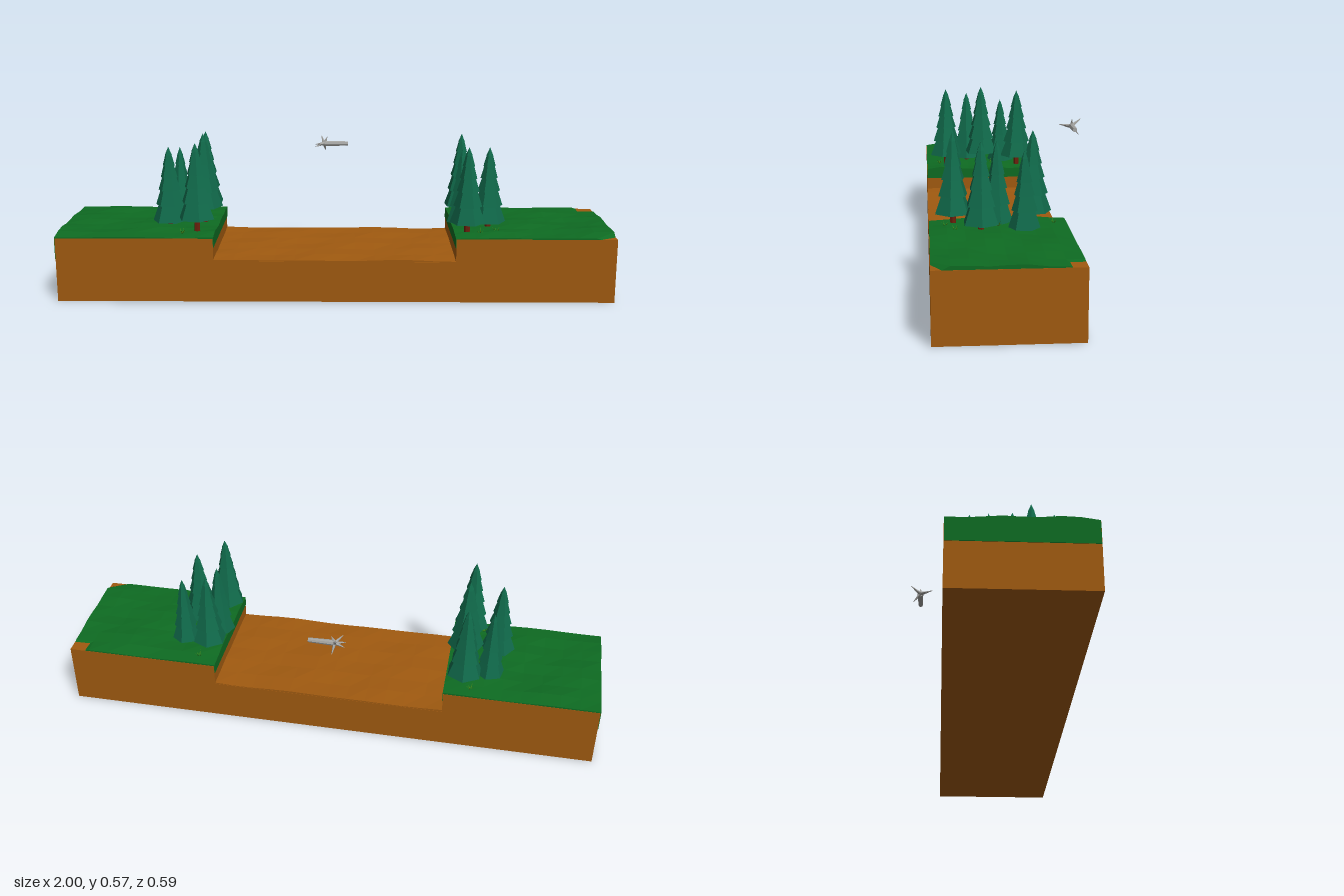
import * as THREE from 'three';

const flat = (name, color, side = THREE.FrontSide) => {
  const m = new THREE.MeshStandardMaterial({ color, flatShading: true, side });
  m.name = name;
  return m;
};

const Z0 = -0.17, Z1 = 0.295, BED = 0.149, BANK = 0.233;
const IN_L = -0.435, IN_R = 0.43;

// Smooth repeatable bumps between 0 and 1
const bump = (x, z) =>
  0.5 + 0.25 * Math.sin(x * 19 + z * 11) + 0.25 * Math.sin(z * 31 - x * 13 + 1.3);

export function createModel() {
  const model = new THREE.Group();
  const earth = flat('earth brown', 0xa05a10);
  const grass = flat('grass green', 0x0e6b22);
  const needle = flat('needle green', 0x10694a);
  const bark = flat('bark red brown', 0x6b200c);
  const blade = flat('blade green', 0x3c8018, THREE.DoubleSide);
  const wood = flat('dead wood grey', 0xa3a3a0);

  const add = (parent, name, geometry, material) => {
    const mesh = new THREE.Mesh(geometry, material);
    mesh.name = name;
    parent.add(mesh);
    return mesh;
  };

  // Earth block with a wide channel cut into it
  const section = new THREE.Shape([
    [-0.998, 0], [1, 0], [1, BANK], [IN_R, BANK],
    [IN_R, BED], [IN_L, BED], [IN_L, BANK], [-0.998, BANK],
  ].map(([x, y]) => new THREE.Vector2(x, y)));
  const block = new THREE.ExtrudeGeometry(section, { depth: Z1 - Z0, bevelEnabled: false });
  add(model, 'earthBlock', block.translate(0, 0, Z0), earth);

  // Slab with an uneven top
  const slab = (name, x0, x1, bottom, height, nx, nz, material) => {
    const g = new THREE.BoxGeometry(x1 - x0, 1, Z1 - Z0 - 0.002, nx, 1, nz);
    g.translate((x0 + x1) / 2, 0, (Z0 + Z1) / 2);
    const p = g.attributes.position;
    for (let i = 0; i < p.count; i++) {
      p.setY(i, p.getY(i) > 0 ? height(p.getX(i), p.getZ(i)) : bottom);
    }
    g.computeVertexNormals();
    add(model, name, g, material);
  };

  // Grass dips under the earth at the two outer right-hand corners
  const turf = (x, z) => {
    const edge = Math.min(z - Z0, Z1 - z);
    if (x > 0.99 && edge < 0.01) return 0.215;
    return 0.2355 + (edge < 0.01 ? 0.004 : 0.013) * bump(x, z);
  };
  slab('channelBed', IN_L, IN_R, 0.1, (x, z) => 0.1505 + 0.007 * bump(x, z), 12, 6, earth);
  slab('rightGrass', IN_R - 0.002, 0.999, 0.2, turf, 8, 8, grass);
  slab('leftGrass', -0.999, IN_L + 0.002, 0.2, turf, 8, 8, grass);
  const skirt = new THREE.BoxGeometry(0.004, 0.08, Z1 - Z0 - 0.002);
  add(model, 'grassSkirt', skirt.translate(-0.998, 0.196, (Z0 + Z1) / 2), grass);

  // Conifers: one six-sided zigzag profile for all tiers
  const tiers = [[0, 1], [0.22, 0.81], [0.42, 0.64], [0.59, 0.49], [0.75, 0.35], [0.89, 0.2]];
  const profile = [new THREE.Vector2(0, 0.05)];
  tiers.forEach(([t, r], i) => {
    if (i) profile.push(new THREE.Vector2(r * 0.76, t + 0.025));
    profile.push(new THREE.Vector2(r, t));
  });
  profile.push(new THREE.Vector2(0, 1));
  const foliage = new THREE.LatheGeometry(profile, 6);
  const trunkShape = new THREE.CylinderGeometry(0.009, 0.012, 1, 6).translate(0, 0.5, 0);

  // x, z, peak height, radius
  [
    [-0.5, -0.083, 0.555, 0.067], [-0.59, -0.02, 0.505, 0.055],
    [-0.49, 0.067, 0.573, 0.068], [-0.61, 0.123, 0.533, 0.064],
    [-0.5, 0.213, 0.563, 0.067], [0.475, -0.055, 0.552, 0.064],
    [0.58, -0.018, 0.505, 0.053], [0.468, 0.065, 0.517, 0.056],
    [0.56, 0.123, 0.533, 0.064], [0.475, 0.213, 0.55, 0.064],
  ].forEach(([x, z, peak, r], i) => {
    const tree = new THREE.Group();
    tree.name = 'conifer';
    tree.position.set(x, 0, z);
    tree.rotation.y = i * 1.9;
    const tall = peak > 0.51 ? 0.275 : 0.258;
    const crown = add(tree, 'foliage', foliage, needle);
    crown.scale.set(r, tall, r);
    crown.position.y = peak - tall;
    const trunk = add(tree, 'trunk', trunkShape, bark);
    trunk.position.y = 0.225;
    trunk.scale.y = peak - tall - 0.225 + 0.03;
    model.add(tree);
  });

  // Grass tufts: fans of leaning triangular blades
  const bladeShape = new THREE.BufferGeometry();
  bladeShape.setAttribute('position', new THREE.Float32BufferAttribute(
    [-0.003, 0, 0, 0.003, 0, 0, 0, 0.026, 0.008], 3));
  bladeShape.computeVertexNormals();
  [
    [0.58, 0.21], [0.52, 0.24], [0.5, 0.0], [0.53, 0.065], [0.5, -0.125],
    [-0.55, 0.24], [-0.54, 0.02], [-0.53, -0.13],
  ].forEach(([x, z], i) => {
    const tuft = new THREE.Group();
    tuft.name = 'grassTuft';
    tuft.position.set(x, 0.236, z);
    for (let k = 0; k < 6; k++) {
      const b = add(tuft, 'blade', bladeShape, blade);
      b.rotation.set(0.35, k * 1.05 + i, 0, 'YXZ');
      b.scale.y = 0.75 + 0.15 * (k % 3);
    }
    model.add(tuft);
  });

  // Floating dead log with spreading roots
  const log = new THREE.Group();
  log.name = 'deadLog';
  log.position.set(-0.05, 0.477, -0.257);
  const stem = new THREE.CylinderGeometry(0.0085, 0.011, 0.095, 8);
  add(log, 'stem', stem.rotateZ(-Math.PI / 2).translate(0.0475, 0, 0), wood);
  const up = new THREE.Vector3(0, 1, 0);
  [
    [-0.012, 0.026, -0.036], [0.006, -0.032, -0.026], [0.012, 0.027, 0],
    [-0.022, 0.003, 0.046], [-0.035, -0.009, 0.022], [-0.036, -0.006, -0.012],
  ].forEach((tip) => {
    const dir = new THREE.Vector3(...tip);
    const len = dir.length();
    const root = add(log, 'root',
      new THREE.CylinderGeometry(0.001, 0.0075, len, 5).translate(0, len / 2, 0), wood);
    root.quaternion.setFromUnitVectors(up, dir.normalize());
  });
  model.add(log);

  return model;
}
